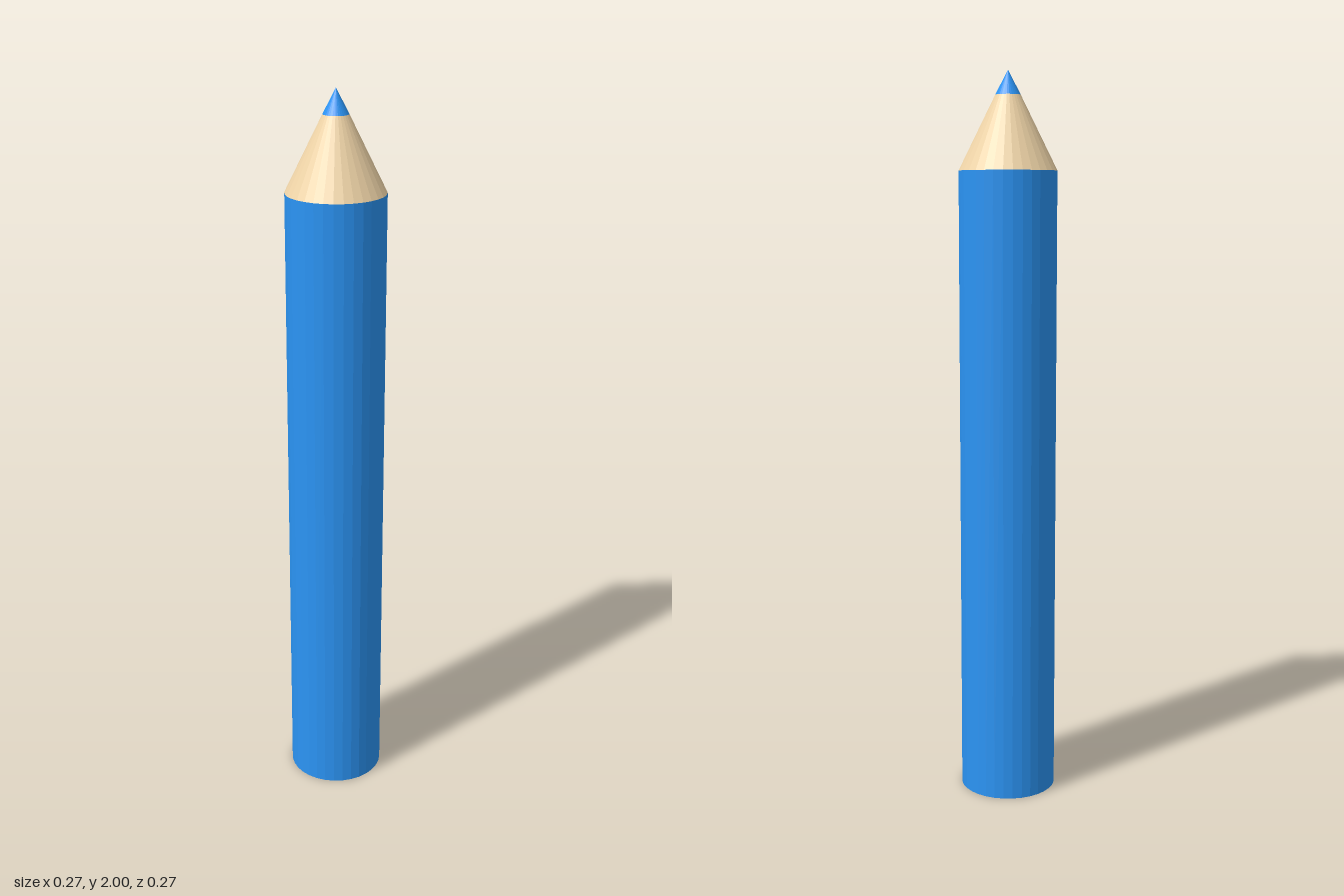
import * as THREE from 'three';

const SIDES = 32;
const BODY_R = 0.133, CORE_R = 0.034;
const BODY_TOP = 1.737, CORE_BASE = 1.935, TIP = 2;

export function createModel() {
  const pencil = new THREE.Group();
  pencil.name = 'pencil';

  const blue = new THREE.MeshStandardMaterial({ color: 0x2b94f4, flatShading: true });
  const wood = new THREE.MeshStandardMaterial({ color: 0xf0d5a8, flatShading: true });

  const add = (name, geometry, material) => {
    const mesh = new THREE.Mesh(geometry, material);
    mesh.name = name;
    pencil.add(mesh);
  };

  // Open-ended round section between two heights
  const section = (rTop, rBottom, y0, y1) =>
    new THREE.CylinderGeometry(rTop, rBottom, y1 - y0, SIDES, 1, true).translate(0, (y0 + y1) / 2, 0);

  // Painted barrel, sharpened wood and coloured point
  add('barrel', section(BODY_R, BODY_R, 0, BODY_TOP), blue);
  add('sharpenedWood', section(CORE_R, BODY_R, BODY_TOP, CORE_BASE), wood);
  add('point', section(0, CORE_R, CORE_BASE, TIP), blue);

  // Flat bottom end: wood ring around the coloured core, facing down
  add('woodEnd', new THREE.RingGeometry(CORE_R, BODY_R, SIDES).rotateX(Math.PI / 2), wood);
  add('coreEnd', new THREE.CircleGeometry(CORE_R, SIDES).rotateX(Math.PI / 2), blue);

  return pencil;
}
